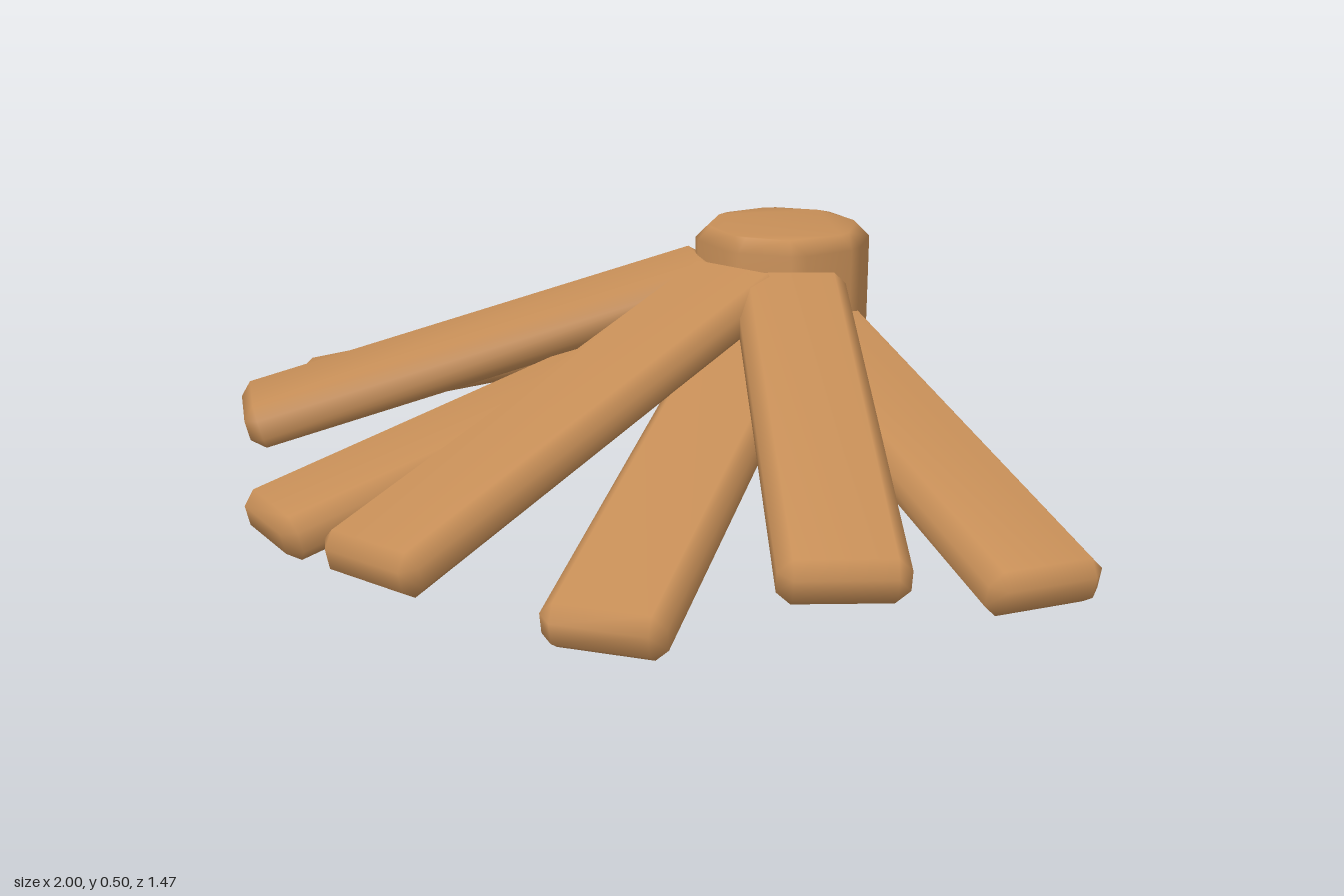
import * as THREE from 'three';
import { ConvexGeometry } from 'three/addons/geometries/ConvexGeometry.js';
import { mergeVertices } from 'three/addons/utils/BufferGeometryUtils.js';

const HUB_Z = -0.55;

// Convex solid with softly shaded chamfers
function softHull(points) {
  const hull = new ConvexGeometry(points);
  hull.deleteAttribute('normal');
  const geometry = mergeVertices(hull, 1e-4);
  geometry.computeVertexNormals();
  return geometry;
}

// Box with every edge chamfered by b
function chamferedBox(w, h, d, b) {
  const points = [];
  for (const sx of [-1, 1]) for (const sy of [-1, 1]) for (const sz of [-1, 1]) {
    for (let axis = 0; axis < 3; axis++) {
      const [ix, iy, iz] = [0, 1, 2].map((i) => (i === axis ? 0 : b));
      points.push(new THREE.Vector3(sx * (w / 2 - ix), sy * (h / 2 - iy), sz * (d / 2 - iz)));
    }
  }
  return softHull(points);
}

// Eight-sided post with chamfered rims and slightly blunted corners
function postGeometry(r, bottom, top, b) {
  const points = [];
  for (const [radius, y] of [[r - b, bottom], [r, bottom + b], [r, top - b], [r - b, top]]) {
    for (let k = 0; k < 8; k++) for (const s of [-1, 1]) {
      const a = k * Math.PI / 4 + s * 0.09;
      points.push(new THREE.Vector3(radius * Math.sin(a), y, radius * Math.cos(a)));
    }
  }
  return softHull(points);
}

export function createModel() {
  const group = new THREE.Group();
  group.name = 'plankFan';
  const wood = new THREE.MeshStandardMaterial({ color: 0xc68e57 });
  wood.name = 'wood';

  const post = new THREE.Mesh(postGeometry(0.187, 0.04, 0.51, 0.028), wood);
  post.name = 'post';
  post.position.z = HUB_Z;
  group.add(post);

  // Planks fan out from the post, alternating between an upper and a lower layer:
  // [angle in degrees, outer reach, inner height, outer height]
  const planks = [
    [0, 1.28, 0.412, 0.12],
    [20, 1.21, 0.315, 0.053],
    [40, 1.155, 0.41, 0.147],
    [60, 1.10, 0.315, 0.083],
  ];
  const inner = 0.15;
  for (const [degrees, outer, y0, y1] of planks) {
    const run = outer - inner, drop = y0 - y1;
    const geometry = chamferedBox(0.23, 0.094, Math.hypot(run, drop), 0.026);
    for (const side of degrees ? [1, -1] : [1]) {
      const angle = side * THREE.MathUtils.degToRad(degrees);
      const mid = (inner + outer) / 2;
      const plank = new THREE.Mesh(geometry, wood);
      plank.name = degrees ? (side > 0 ? 'leftPlank' : 'rightPlank') + degrees : 'centrePlank';
      plank.position.set(mid * Math.sin(angle), (y0 + y1) / 2, HUB_Z + mid * Math.cos(angle));
      plank.rotation.set(Math.atan2(drop, run), angle, 0, 'YXZ');
      group.add(plank);
    }
  }
  return group;
}
